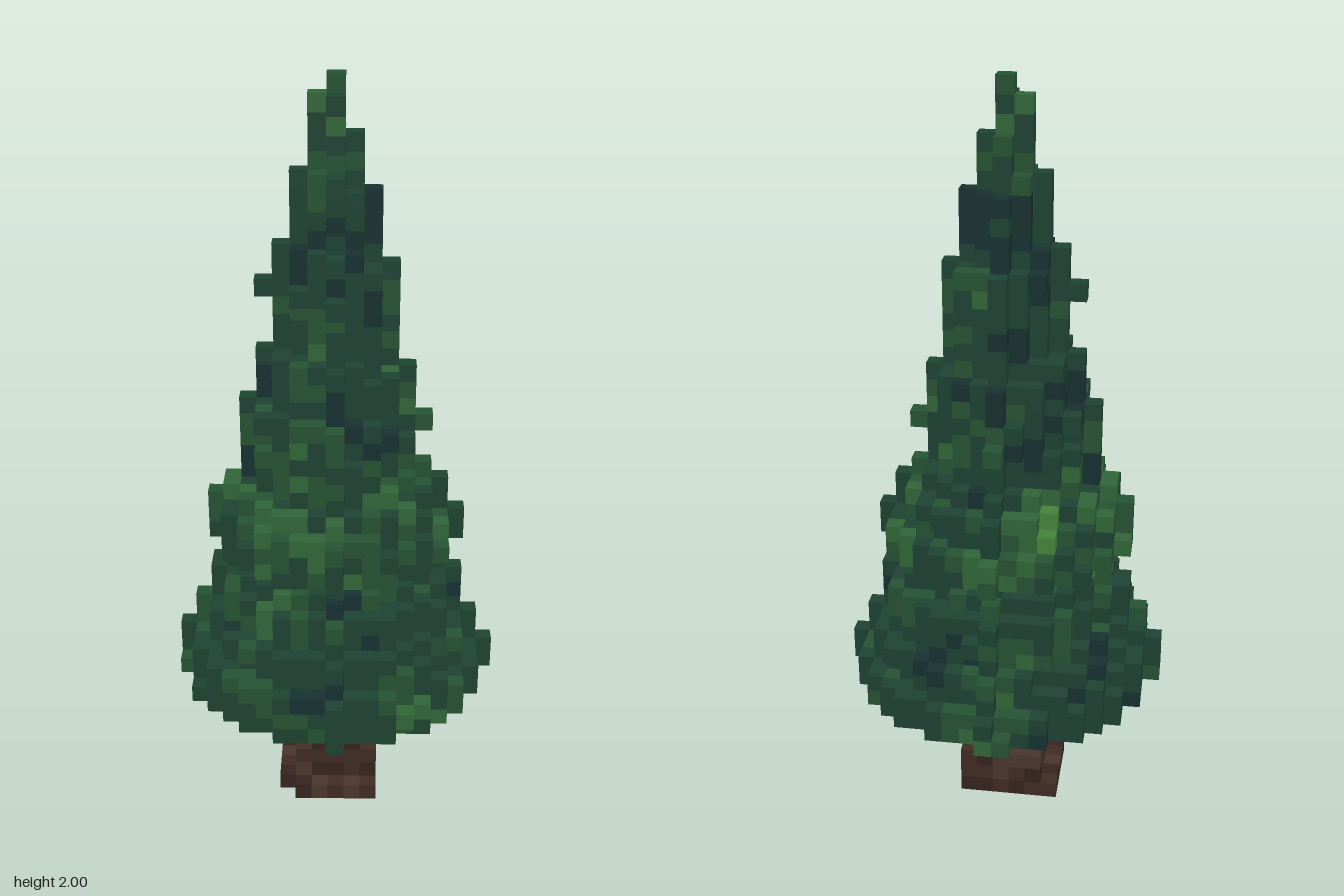
import * as THREE from 'three';
import { mergeGeometries } from 'three/addons/utils/BufferGeometryUtils.js';

const S = 2 / 44; // cube size
const GREENS = [0x173030, 0x1d4232, 0x265233, 0x306537, 0x44833b];
const BROWNS = [0x35231d, 0x3f2b24, 0x4a352d];

// Crown reach in cubes for each layer from the skirt up: -x/+z side and +x/-z side
const REACH_A = '999887765777655555444333333222211110';
const REACH_B = '998877765776654444443333332222111000';
const CROWN_START = 8;
const SPRIGS = [[-4, 32, 0], [0, 32, 4], [5, 24, 0], [0, 24, -5]]; // single cubes that stick out

// Repeatable pseudo-random value in 0..1 for a cell
function hash(x, y, z) {
  let h = (x * 374761393 + y * 668265263 + z * 1274126177) | 0;
  h = Math.imul(h ^ (h >>> 13), 1274126177);
  h = Math.imul(h ^ (h >>> 15), 2246822519);
  return ((h ^ (h >>> 16)) >>> 0) / 4294967296;
}

// One square per cube side, placed half a cube out from the centre
const SIDES = [
  [1, 0, 0], [-1, 0, 0], [0, 1, 0], [0, -1, 0], [0, 0, 1], [0, 0, -1],
].map((dir) => {
  const face = new THREE.PlaneGeometry(S, S);
  if (dir[0]) face.rotateY(dir[0] * Math.PI / 2);
  else if (dir[1]) face.rotateX(-dir[1] * Math.PI / 2);
  else if (dir[2] < 0) face.rotateY(Math.PI);
  face.translate(dir[0] * S / 2, dir[1] * S / 2, dir[2] * S / 2);
  return { dir, face };
});

// Cube store: cell key -> [x, y, z, shade index]
const key = (x, y, z) => `${x},${y},${z}`;

// Turns cells into one mesh per shade, keeping only exposed faces
function buildCubes(name, cells, solid, colors) {
  const group = new THREE.Group();
  group.name = name;
  const byShade = colors.map(() => []);
  for (const [x, y, z, shade] of cells.values()) {
    for (const { dir, face } of SIDES) {
      if (solid(x + dir[0], y + dir[1], z + dir[2])) continue;
      byShade[shade].push(face.clone().translate(x * S, (y + 0.5) * S, z * S));
    }
  }
  byShade.forEach((faces, i) => {
    if (!faces.length) return;
    const material = new THREE.MeshStandardMaterial({ color: colors[i], flatShading: true });
    const mesh = new THREE.Mesh(mergeGeometries(faces), material);
    mesh.name = `${name}Shade${i + 1}`;
    group.add(mesh);
  });
  return group;
}

// Foliage shade: soft patches, a pale band low down and a dark band high up
function leafShade(x, y, z) {
  const patch = Math.sin(x * 0.6 + y * 0.5) * Math.sin(z * 0.65 - y * 0.45 + 1);
  const band = 0.22 * Math.exp(-(((y - 19) / 3.5) ** 2)) - 0.45 * Math.exp(-(((y - 35) / 1.5) ** 2));
  const v = 0.36 + 0.22 * patch + band + (hash(x + 50, y, z) - 0.5) * 0.5;
  if (v < 0.12) return 0;
  if (v < 0.5) return 1;
  if (v < 0.67) return 2;
  return v < 0.9 ? 3 : 4;
}

// Round layers with a slightly ragged rim
function crownCells() {
  const cells = new Map();
  const add = (x, y, z) => cells.set(key(x, y, z), [x, y, z, leafShade(x, y, z)]);
  for (let n = 0; n < REACH_A.length; n++) {
    const y = CROWN_START + n;
    const a = +REACH_A[n], b = +REACH_B[n];
    for (let x = -a; x <= b; x++) {
      for (let z = -b; z <= a; z++) {
        const rx = x < 0 ? a : b, rz = z > 0 ? a : b;
        const d = Math.hypot(x / (rx + 0.25), z / (rz + 0.25));
        if (d > 1) continue;
        const inset = (1 - d) * (Math.max(rx, rz) + 0.25);
        const furthest = (Math.abs(x) === rx && z === 0) || (Math.abs(z) === rz && x === 0);
        const ragged = 0.35 * hash(x, 0, z) + 0.45 * hash(x, y, z);
        if (a < 2 || furthest || inset > ragged) add(x, y, z);
      }
    }
  }
  SPRIGS.forEach((cell) => add(...cell));
  return cells;
}

// Square trunk on a stepped foot with one corner notched
function trunkCells() {
  const cells = new Map();
  const fill = (x0, x1, y0, y1, z0, z1) => {
    for (let x = x0; x <= x1; x++)
      for (let y = y0; y <= y1; y++)
        for (let z = z0; z <= z1; z++) {
          if (x === -3 && z === 3) continue;
          cells.set(key(x, y, z), [x, y, z, Math.floor(hash(x, y, z) * 3)]);
        }
  };
  fill(-2, 1, 0, CROWN_START - 1, -1, 2);
  fill(-3, 2, 0, 0, -2, 3);
  fill(-2, 2, 1, 2, -2, 2);
  return cells;
}

export function createModel() {
  const crown = crownCells();
  const trunk = trunkCells();
  const solid = (x, y, z) => crown.has(key(x, y, z)) || trunk.has(key(x, y, z));

  const tree = new THREE.Group();
  tree.name = 'tree';
  tree.add(buildCubes('trunk', trunk, solid, BROWNS));
  tree.add(buildCubes('foliage', crown, solid, GREENS));
  return tree;
}
